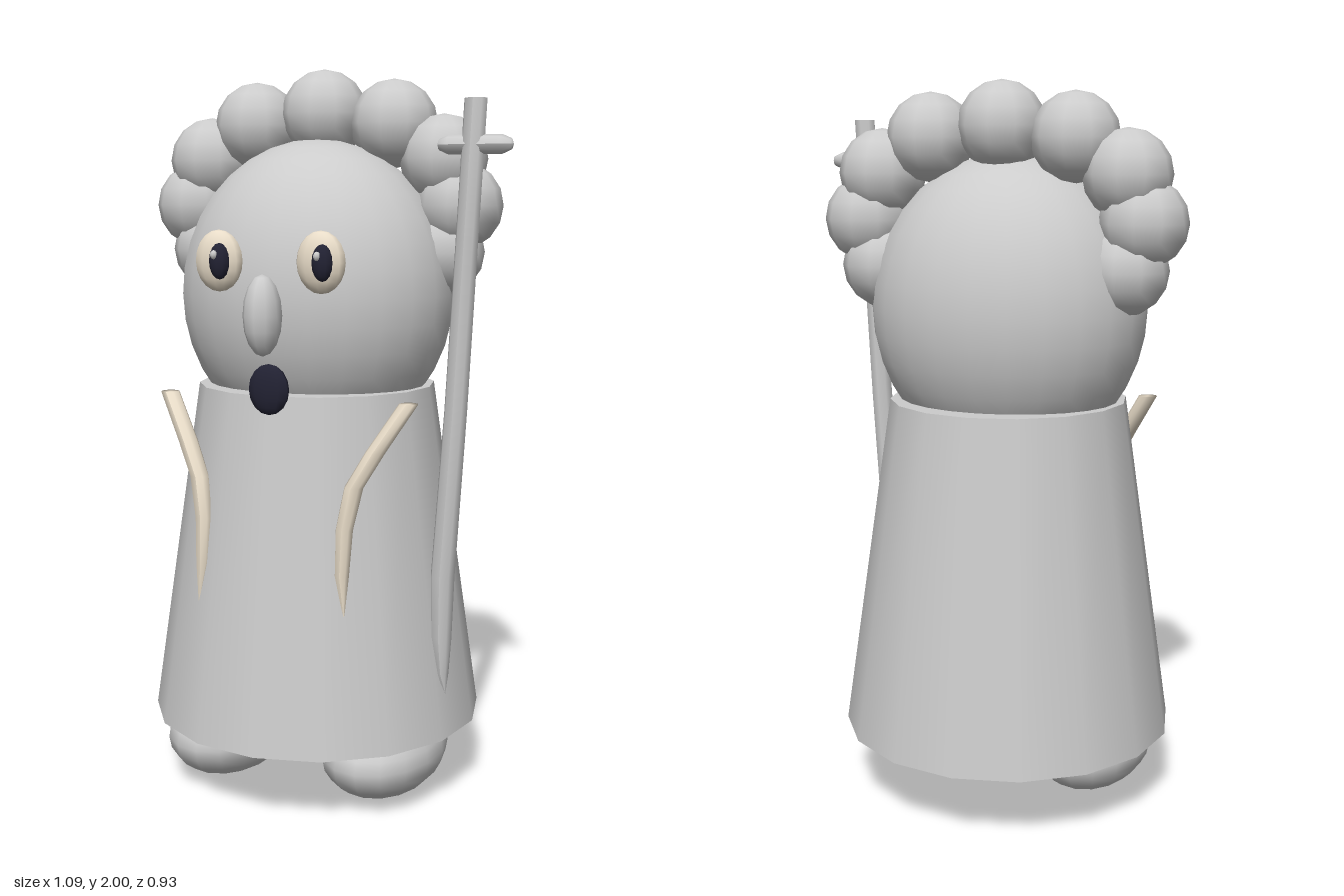
import * as THREE from 'three';

const CX = -0.04; // the figure's own middle line; the staff widens one side

const grey = new THREE.MeshStandardMaterial({ color: 0xcccccc });
const cream = new THREE.MeshStandardMaterial({ color: 0xe8dcc8 });
const dark = new THREE.MeshStandardMaterial({ color: 0x222233 });
const white = new THREE.MeshStandardMaterial({ color: 0xffffff });

// Ellipsoid with given centre and half sizes
function blob(name, [x, y, z], [rx, ry, rz], material, w = 16, h = 12) {
  const geo = new THREE.SphereGeometry(1, w, h);
  geo.rotateY(Math.PI / 2);
  const mesh = new THREE.Mesh(geo, material);
  mesh.name = name;
  mesh.position.set(x, y, z);
  mesh.scale.set(rx, ry, rz);
  return mesh;
}

// Round bar through rings [x, y, z, radius], listed from top to bottom
function bar(name, rings, material, sides = 8) {
  const n = rings.length - 1;
  const geo = new THREE.CylinderGeometry(1, 1, 1, sides, n, true);
  const pos = geo.attributes.position;
  for (let i = 0; i < pos.count; i++) {
    const [x, y, z, r] = rings[Math.round((0.5 - pos.getY(i)) * n)];
    pos.setXYZ(i, x + pos.getX(i) * r, y, z + pos.getZ(i) * r);
  }
  geo.computeVertexNormals();
  const mesh = new THREE.Mesh(geo, material);
  mesh.name = name;
  return mesh;
}

export function createModel() {
  const model = new THREE.Group();
  model.name = 'figure';

  // Robe
  const robe = new THREE.Mesh(new THREE.CylinderGeometry(0.33, 0.467, 0.94, 16), grey);
  robe.name = 'robe';
  robe.position.set(CX, 0.67, 0);
  model.add(robe);

  // Head and face
  model.add(blob('head', [CX, 1.39, 0], [0.385, 0.42, 0.33], grey, 24, 18));
  model.add(blob('nose', [CX, 1.355, 0.38], [0.05, 0.105, 0.058], grey, 10, 8));
  model.add(blob('mouth', [CX, 1.16, 0.342], [0.057, 0.067, 0.022], dark, 10, 8));

  // Hair curls in an arch over the head: [offset from middle, height]
  const hair = new THREE.Group();
  hair.name = 'hair';
  const curls = [[0, 1.88], [0.203, 1.85], [0.345, 1.755], [0.39, 1.63], [0.34, 1.505]];
  for (const [dx, y] of curls) {
    for (const s of dx ? [-1, 1] : [1]) {
      hair.add(blob('curl', [CX + s * dx, y, -0.06], [0.12, 0.12, 0.12], grey, 10, 8));
    }
  }
  model.add(hair);

  // Paired parts
  for (const s of [-1, 1]) {
    const side = s > 0 ? 'left' : 'right';
    const ex = CX + s * 0.142;
    model.add(blob(side + 'Eye', [ex, 1.49, 0.333], [0.067, 0.08, 0.037], cream, 12, 10));
    model.add(blob(side + 'Pupil', [ex + 0.015, 1.49, 0.363], [0.028, 0.047, 0.021], dark, 10, 8));
    model.add(blob(side + 'Glint', [ex + 0.007, 1.507, 0.38], [0.01, 0.012, 0.01], white, 8, 6));
    model.add(blob(side + 'Foot', [CX + s * 0.235, 0.13, 0.08], [0.17, 0.13, 0.25], grey));

    // Trim strip lying on the front of the robe
    model.add(bar(side + 'Trim', [
      [CX + s * 0.345, 1.125, 0.23, 0],
      [CX + s * 0.345, 1.125, 0.23, 0.026],
      [CX + s * 0.27, 1.0, 0.275, 0.027],
      [CX + s * 0.222, 0.91, 0.305, 0.026],
      [CX + s * 0.202, 0.8, 0.322, 0.024],
      [CX + s * 0.2, 0.68, 0.335, 0.02],
      [CX + s * 0.21, 0.56, 0.346, 0],
    ], cream));
  }

  // Staff with a short crossbar
  const staff = new THREE.Group();
  staff.name = 'staff';
  staff.add(bar('staffPole', [
    [0.445, 1.9, 0.135, 0],
    [0.445, 1.9, 0.135, 0.03],
    [0.428, 1.55, 0.137, 0.03],
    [0.405, 1.1, 0.138, 0.031],
    [0.376, 0.65, 0.14, 0.033],
    [0.374, 0.48, 0.14, 0.029],
    [0.378, 0.38, 0.14, 0.018],
    [0.388, 0.32, 0.14, 0],
  ], grey));
  const crossbar = bar('crossbar', [
    [0, 0.1, 0, 0], [0, 0.095, 0, 0.014], [0, 0.07, 0, 0.025],
    [0, -0.07, 0, 0.025], [0, -0.095, 0, 0.014], [0, -0.1, 0, 0],
  ], grey);
  crossbar.rotation.z = Math.PI / 2;
  crossbar.position.set(0.445, 1.785, 0.135);
  staff.add(crossbar);
  model.add(staff);

  return model;
}
